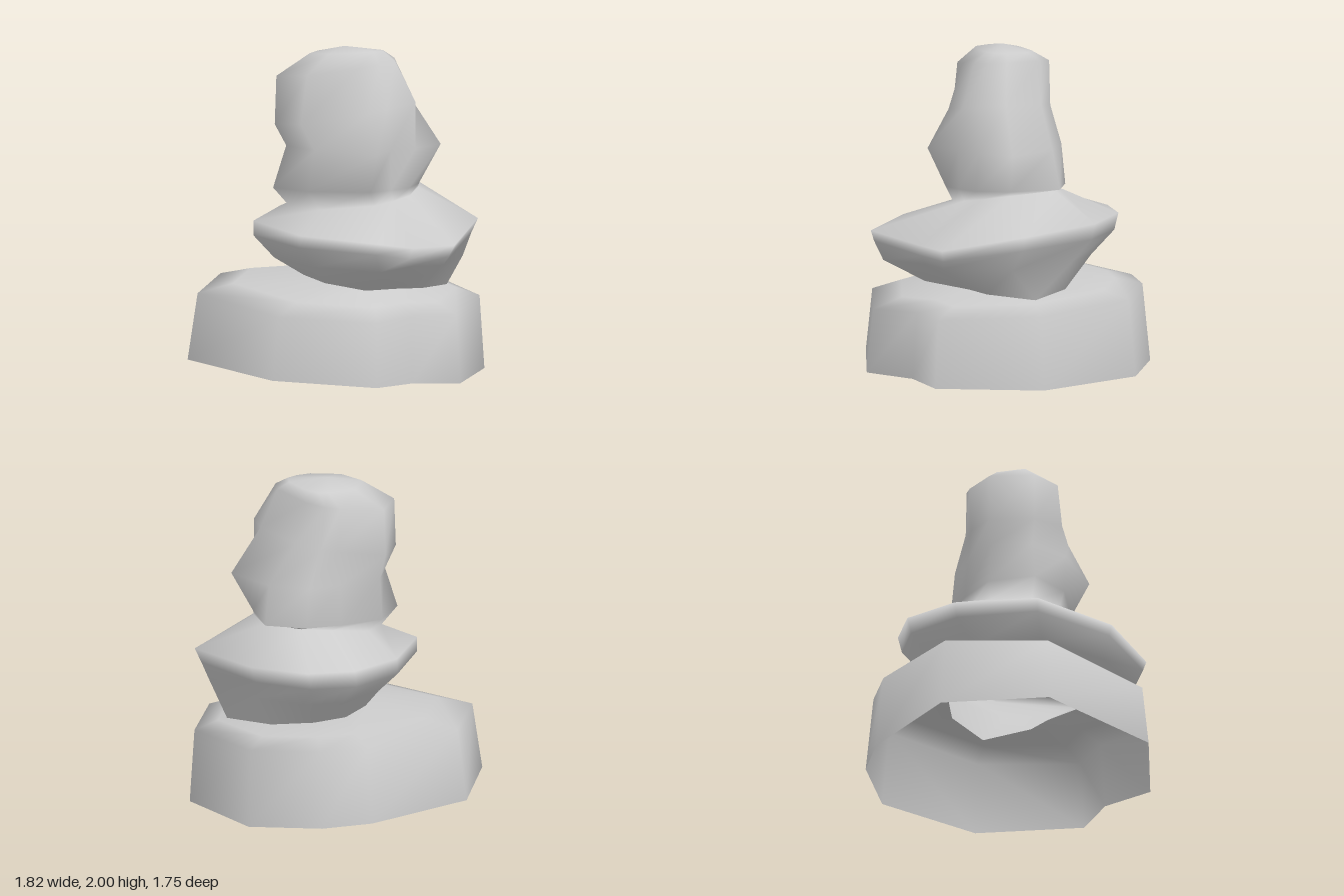
import * as THREE from 'three';

const SIDES = 10;

// Outlines as x, z pairs running left side -> back -> right side -> front.
const drum = [-0.91, 0.02, -0.7, -0.61, -0.07, -0.88, 0.24, -0.88, 0.66, -0.69,
  0.91, -0.06, 0.7, 0.57, 0.4, 0.64, 0.16, 0.87, -0.46, 0.73];
const waist = [-0.2, 0, -0.15, -0.2, 0, -0.36, 0.2, -0.38, 0.45, -0.3,
  0.68, -0.06, 0.5, 0.2, 0.37, 0.28, 0.13, 0.5, -0.1, 0.3];
const rim = [-0.51, 0.03, -0.3, -0.44, 0, -0.67, 0.29, -0.67, 0.6, -0.45,
  0.86, 0.05, 0.67, 0.52, 0.41, 0.6, 0.18, 0.85, -0.27, 0.54];
const shoulder = [-0.39, 0.04, -0.25, -0.22, 0.02, -0.31, 0.24, -0.35, 0.48, -0.26,
  0.5, 0.05, 0.42, 0.25, 0.3, 0.33, 0.17, 0.38, -0.2, 0.26];
const bulge = [-0.31, 0.04, -0.24, -0.2, 0.02, -0.29, 0.22, -0.33, 0.45, -0.22,
  0.63, 0.07, 0.46, 0.24, 0.3, 0.33, 0.2, 0.5, -0.16, 0.28];
const cheek = [-0.38, 0.04, -0.27, -0.22, 0.03, -0.27, 0.14, -0.28, 0.28, -0.19,
  0.45, 0.07, 0.46, 0.24, 0.28, 0.3, 0.16, 0.36, -0.24, 0.24];
const crown = [-0.37, 0.04, -0.26, -0.22, 0.02, -0.28, 0.11, -0.28, 0.22, -0.2,
  0.35, 0.04, 0.34, 0.16, 0.24, 0.22, 0.1, 0.26, -0.2, 0.22];

// Shrink an outline towards a chosen centre.
function inset(outline, s, cx, cz) {
  return outline.map((v, i) => {
    const c = i % 2 ? cz : cx;
    return c + (v - c) * s;
  });
}

// A tilted cross-section: height = y + sx * x + sz * z.
function ring(outline, y, sx = 0, sz = 0) {
  const pts = [];
  for (let i = 0; i < SIDES; i++) {
    const x = outline[2 * i], z = outline[2 * i + 1];
    pts.push(x, y + sx * x + sz * z, z);
  }
  return pts;
}

// Lower a ring at its two front right corners.
function sag(pts, drop) {
  for (const corner of [6, 7]) pts[corner * 3 + 1] -= drop;
  return pts;
}

// Skin stacked rings smoothly, optionally closing the top with an apex point.
function skin(name, rings, apex) {
  const pos = rings.flat(), index = [];
  for (let r = 0; r < rings.length - 1; r++) {
    for (let j = 0; j < SIDES; j++) {
      const a = r * SIDES + j, b = r * SIDES + (j + 1) % SIDES;
      const c = a + SIDES, d = b + SIDES;
      index.push(a, c, b, b, c, d);
    }
  }
  if (apex) {
    const top = (rings.length - 1) * SIDES, tip = rings.length * SIDES;
    pos.push(...apex);
    for (let j = 0; j < SIDES; j++) index.push(top + j, tip, top + (j + 1) % SIDES);
  }
  const geo = new THREE.BufferGeometry();
  geo.setAttribute('position', new THREE.Float32BufferAttribute(pos, 3));
  geo.setIndex(index);
  geo.computeVertexNormals();
  const mat = new THREE.MeshStandardMaterial({ color: 0xcccccc, side: THREE.DoubleSide });
  const mesh = new THREE.Mesh(geo, mat);
  mesh.name = name;
  return mesh;
}

export function createModel() {
  const group = new THREE.Group();
  group.name = 'coiledMound';
  const joint = ring(waist, 0.58, -0.09);

  // Lower coil: wide drum, open underneath, with a sloping shelf on top
  group.add(skin('lowerCoil', [
    ring(drum, 0.045, -0.05, -0.015),
    ring(inset(drum, 0.95, 0.3, 0.1), 0.473, -0.03, -0.065),
    ring(inset(drum, 0.75, 0.2, 0), 0.53, -0.04, -0.06),
    joint,
  ]));

  // Middle coil with a flared rim, flowing into the upright rounded head
  group.add(skin('upperCoils', [
    joint,
    ring(inset(rim, 0.84, 0.25, 0.38), 0.72),
    sag(ring(inset(rim, 0.97, -0.5, 0), 0.85, 0, -0.02), 0.07),
    sag(ring(rim, 0.94, 0, -0.045), 0.075),
    ring(inset(shoulder, 0.88, 0.45, 0.05), 1.07, 0.14, -0.1),
    ring(shoulder, 1.15, 0.02),
    ring(bulge, 1.4),
    ring(cheek, 1.6, 0.18),
    ring(crown, 1.88, 0.14),
    ring(inset(crown, 0.62, 0.17, 0), 1.965, 0.03, 0.06),
  ], [0.05, 2, 0]));

  return group;
}
